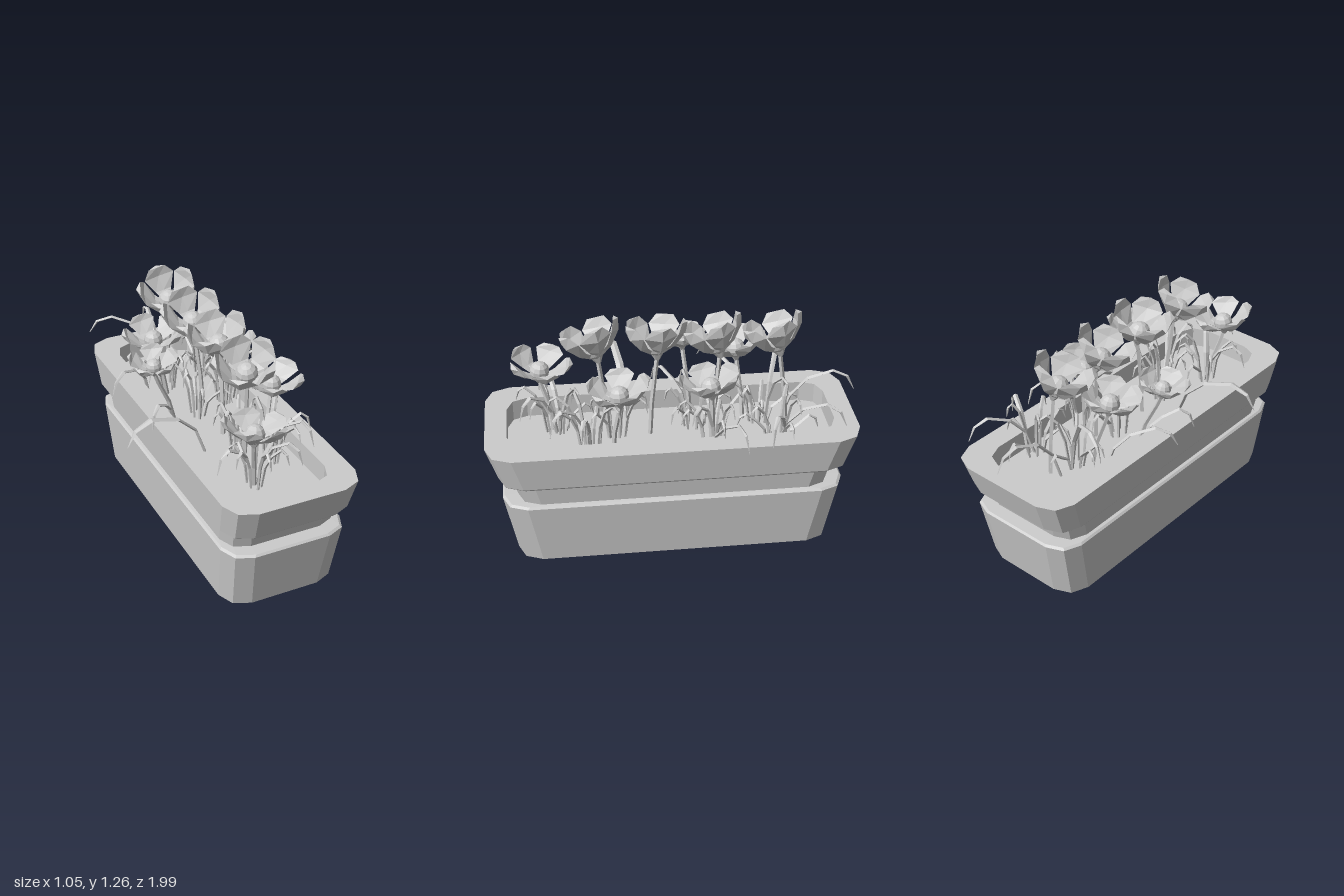
import * as THREE from 'three';

const V = (x, y, z) => new THREE.Vector3(x, y, z);
const mat = new THREE.MeshStandardMaterial({ color: 0xcccccc, flatShading: true });
const SOIL = 0.555;

// Skin a list of equal-length rings, with optional end caps
function loft(rings, capStart = true, capEnd = true) {
  const pos = [];
  const tri = (...p) => p.forEach(v => pos.push(v.x, v.y, v.z));
  const n = rings[0].length;
  for (let i = 0; i < rings.length - 1; i++) {
    for (let j = 0; j < n; j++) {
      const k = (j + 1) % n;
      const [a, b, c, d] = [rings[i][j], rings[i][k], rings[i + 1][k], rings[i + 1][j]];
      tri(a, b, c);
      tri(a, c, d);
    }
  }
  const first = rings[0], last = rings[rings.length - 1];
  for (let j = 1; j < n - 1; j++) {
    if (capStart) tri(first[0], first[j + 1], first[j]);
    if (capEnd) tri(last[0], last[j], last[j + 1]);
  }
  const g = new THREE.BufferGeometry();
  g.setAttribute('position', new THREE.Float32BufferAttribute(pos, 3));
  g.computeVertexNormals();
  return g;
}

// Diamond-section strip along a path; u is its sideways direction
function strip(path, u, widths, thick, cup = 0) {
  return loft(path.map((p, i) => {
    const d = path[Math.min(i + 1, path.length - 1)].clone().sub(path[Math.max(i - 1, 0)]).normalize();
    const v = d.cross(u).normalize();
    const w = widths[i], t = Math.min(thick, w), c = -cup * w;
    const at = (a, b) => p.clone().addScaledVector(u, a).addScaledVector(v, b);
    return [at(w, c), at(0, t), at(-w, c), at(0, -t)];
  }));
}

function add(parent, name, geometry) {
  const m = new THREE.Mesh(geometry, mat);
  m.name = name;
  parent.add(m);
  return m;
}

// Rectangle ring with two-segment rounded corners
function boxRing(hx, hz, y, r) {
  const ring = [];
  for (let q = 0; q < 4; q++) {
    const sz = q === 0 || q === 3 ? 1 : -1, sx = q < 2 ? 1 : -1;
    for (let k = 0; k < 3; k++) {
      const a = q * Math.PI / 2 + k * Math.PI / 4;
      ring.push(V(0.1 + sx * (hx - r) + r * Math.sin(a), y, 0.015 + sz * (hz - r) + r * Math.cos(a)));
    }
  }
  return ring;
}

// Pseudo-random sequence for the grass
let seed = 7;
const rnd = (a, b) => {
  seed = (seed * 16807) % 2147483647;
  return a + (b - a) * seed / 2147483647;
};

// Angular leaf blade: rises steeply, runs out flat and droops at the tip
function blade(parent, bx, bz, tx, tz, peak, tipY, w = 0.013) {
  const at = (f, y) => V(bx + (tx - bx) * f, y, bz + (tz - bz) * f);
  const u = V(tz - bz, 0, bx - tx).normalize();
  const path = [at(0, SOIL - 0.01), at(0.13, SOIL + (peak - SOIL) * 0.5),
    at(0.36, peak - 0.05), at(0.7, peak), at(0.9, peak - (peak - tipY) * 0.3), at(1, tipY)];
  add(parent, 'leafBlade', strip(path, u, [w * 0.7, w, w * 1.1, w, w * 0.7, 0.002], 0.008));
}

// Flower with stem, calyx, five broad petals and a round centre
function flower(parent, { x, z, y, bx, bz, tilt, open, size = 1, turn = 0 }) {
  const g = new THREE.Group();
  g.name = 'flower';
  const stem = [V(bx, SOIL - 0.01, bz), V(bx + (x - bx) * 0.3, SOIL + (y - SOIL) * 0.4, bz + (z - bz) * 0.25),
    V(bx + (x - bx) * 0.8, SOIL + (y - SOIL) * 0.8, bz + (z - bz) * 0.75), V(x, y, z)];
  add(g, 'stem', strip(stem, V(1, 0, 0), [0.014, 0.013, 0.012, 0.012], 0.012));
  const head = new THREE.Group();
  head.name = 'flowerHead';
  head.position.set(x, y, z);
  head.rotation.set(tilt[0], 0, tilt[1]);
  head.scale.setScalar(size);
  const calyx = add(head, 'calyx', new THREE.CylinderGeometry(0.05, 0.012, 0.06, 6));
  calyx.position.y = 0.01;
  const centre = add(head, 'flowerCentre', new THREE.SphereGeometry(0.058, 10, 7));
  centre.position.y = 0.06;
  // Petal centre line: lower `open` stands upright, higher lies flat
  const path = [[0.02, 0.02], [0.075 + 0.02 * open, 0.065 - 0.02 * open],
    [0.12 + 0.05 * open, 0.145 - 0.06 * open], [0.13 + 0.06 * open, 0.215 - 0.1 * open]]
    .map(([r, h]) => V(r, h, 0));
  const petal = strip(path, V(0, 0, 1), [0.015, 0.045, 0.085, 0.048], 0.013, 0.25);
  for (let i = 0; i < 5; i++) {
    add(head, 'petal', petal).rotation.y = turn + i * Math.PI * 0.4;
  }
  g.add(head);
  parent.add(g);
}

export function createModel() {
  const model = new THREE.Group();
  model.name = 'flowerPlanter';

  // Tapered trough with a recessed neck and a wide rim: half x, half z, y, corner
  const profile = [
    [0.322, 0.847, 0, 0.13], [0.345, 0.91, 0.345, 0.13], [0.335, 0.9, 0.355, 0.13],
    [0.318, 0.83, 0.358, 0.12], [0.328, 0.858, 0.472, 0.12], [0.35, 0.915, 0.472, 0.13],
    [0.357, 0.925, 0.482, 0.13], [0.374, 0.985, 0.67, 0.135], [0.25, 0.868, 0.67, 0.11],
    [0.25, 0.868, SOIL - 0.01, 0.11],
  ];
  add(model, 'planter', loft(profile.map(p => boxRing(...p)), true, false));
  add(model, 'soil', loft([boxRing(0.25, 0.868, SOIL - 0.02, 0.11), boxRing(0.25, 0.868, SOIL, 0.11)]));

  // Tall row down the middle, lower flowers around it
  const flowers = new THREE.Group();
  flowers.name = 'flowers';
  const tall = { open: 0.4, tilt: [0.3, 0.25], size: 1.03 }, low = { open: 0.8, size: 0.92 };
  [
    { ...tall, x: 0.1, z: -0.57, y: 1.01, bx: 0.1, bz: -0.62, turn: 0.3 },
    { ...tall, x: 0.1, z: -0.25, y: 1.02, bx: 0.14, bz: -0.22, turn: 0.3 },
    { ...tall, x: 0.1, z: 0.08, y: 1.03, bx: 0.1, bz: 0.12, tilt: [0.05, 0.2], turn: 0.16 },
    { ...tall, x: 0.1, z: 0.39, y: 1.03, bx: 0.12, bz: 0.34, turn: 0.3 },
    { ...low, x: -0.02, z: 0.7, y: 0.86, bx: 0.03, bz: 0.62, tilt: [-0.1, -0.1], turn: 0.2 },
    { ...low, x: 0.29, z: 0.29, y: 0.86, bx: 0.24, bz: 0.33, tilt: [0.1, 0], turn: 0.5 },
    { ...low, x: 0.26, z: -0.19, y: 0.86, bx: 0.24, bz: -0.2, tilt: [0.15, 0.1], turn: 0.8 },
    { ...low, x: -0.21, z: -0.09, y: 0.9, bx: -0.08, bz: -0.12, tilt: [0.1, 0.1], size: 0.75 },
    { ...low, x: -0.09, z: -0.37, y: 0.89, bx: 0, bz: -0.4, tilt: [0.1, 0.1], turn: 0.4 },
  ].forEach(f => flower(flowers, f));
  model.add(flowers);

  // Long overhanging blades: base x, z, tip x, z, peak and tip height
  const leaves = new THREE.Group();
  leaves.name = 'leaves';
  [
    [0.04, -0.6, 0.1, -0.985, 0.87, 0.76], [0.29, -0.54, 0.43, -0.87, 0.85, 0.74],
    [0.04, -0.52, -0.34, -0.71, 0.98, 0.88], [0.3, -0.58, 0.52, -0.47, 0.83, 0.68],
    [-0.1, -0.42, -0.41, -0.2, 0.84, 0.74], [0.33, -0.18, 0.52, -0.35, 0.8, 0.66],
    [-0.06, 0.23, -0.53, 0.3, 0.86, 0.74, 0.02], [0.2, 0.46, 0.35, 0.66, 0.85, 0.72],
    [-0.1, -0.1, -0.3, 0.08, 0.77, 0.65], [0.03, 0.6, -0.2, 0.66, 0.82, 0.7],
    [0.04, 0.62, 0.2, 0.81, 0.85, 0.74], [0.32, -0.2, 0.47, -0.06, 0.9, 0.82],
    [0.24, 0.45, 0.42, 0.5, 0.82, 0.72],
  ].forEach(b => blade(leaves, ...b));

  // Tufts of shorter blades at the foot of the flowers
  [[0.03, 0.62], [0.22, 0.45], [0.1, 0.3], [0.26, -0.2], [0.06, -0.12], [0.28, -0.54], [0.04, -0.48]]
    .forEach(([cx, cz]) => {
      for (let i = 0; i < 7; i++) {
        const a = i * 0.9 + rnd(-0.3, 0.3), r = rnd(0.1, 0.18), peak = rnd(0.71, 0.88);
        const bx = cx + 0.03 * Math.cos(a), bz = cz + 0.05 * Math.sin(a);
        blade(leaves, bx, bz, bx + r * 0.85 * Math.cos(a), bz + r * Math.sin(a), peak, peak - 0.08, 0.01);
      }
    });
  model.add(leaves);
  return model;
}
